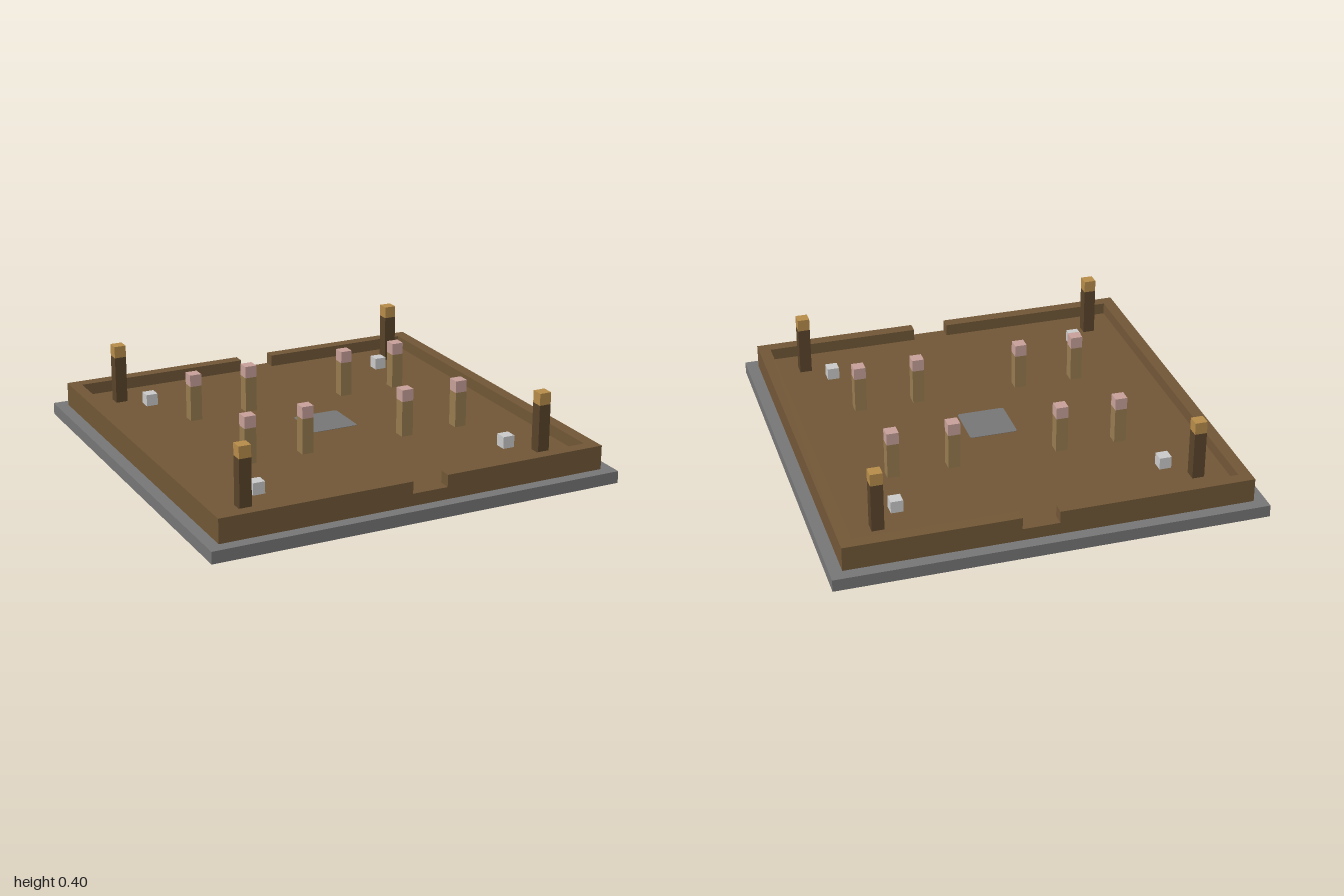
import * as THREE from 'three';

const U = 2 / 35; // one block

const mat = (name, color) => {
  const m = new THREE.MeshStandardMaterial({ color });
  m.name = name;
  return m;
};

export function createModel() {
  const model = new THREE.Group();
  const stone = mat('stone grey', 0x757575);
  const brown = mat('plank brown', 0x705636);
  const darkWood = mat('dark wood', 0x59432a);
  const tan = mat('tan wood', 0x957a4e);
  const gold = mat('gold', 0xb58b49);
  const pink = mat('dusty pink', 0xc69f98);
  const pale = mat('pale grey', 0xc8c8c8);

  // Box given by its centre and size in blocks, with y at its underside
  const block = (name, material, x, y, z, w, h, d, parent = model) => {
    const mesh = new THREE.Mesh(new THREE.BoxGeometry(w * U, h * U, d * U), material);
    mesh.name = name;
    mesh.position.set(x * U, (y + h / 2) * U, z * U);
    parent.add(mesh);
    return mesh;
  };

  // Stone base and plank floor
  block('base', stone, 0, 0, 0, 35, 1, 35);
  block('floor', brown, 0, 1, 0, 33, 1, 33);

  // Low walls, with a doorway three blocks wide at front and back
  for (const s of [-1, 1]) {
    block('sideWall', brown, s * 16, 2, 0, 1, 1, 33);
    block('endWallRight', brown, -8, 2, s * 16, 15, 1, 1);
    block('endWallLeft', brown, 9, 2, s * 16, 13, 1, 1);
  }

  // Stone slab set in the floor, with slightly rounded corners
  const r = 0.014, h = 2 * U;
  const slab = new THREE.Shape();
  slab.absarc(h - r, h - r, r, 0, Math.PI / 2);
  slab.absarc(-h + r, h - r, r, Math.PI / 2, Math.PI);
  slab.absarc(-h + r, -h + r, r, Math.PI, Math.PI * 1.5);
  slab.absarc(h - r, -h + r, r, Math.PI * 1.5, Math.PI * 2);
  const slabGeo = new THREE.ExtrudeGeometry(slab, { depth: 0.002, bevelEnabled: false, curveSegments: 4 });
  slabGeo.rotateX(-Math.PI / 2);
  const slabMesh = new THREE.Mesh(slabGeo, stone);
  slabMesh.name = 'floorSlab';
  slabMesh.position.set(U / 2, 2 * U, -U / 2);
  model.add(slabMesh);

  // Post standing on the floor with a one-block cap
  const post = (name, x, z, height, shaft, cap) => {
    const g = new THREE.Group();
    g.name = name;
    block(name + 'Shaft', shaft, x, 2, z, 1, height, 1, g);
    block(name + 'Cap', cap, x, 2 + height, z, 1, 1, 1, g);
    model.add(g);
  };

  // Corner posts and the small pale blocks beside them
  for (const x of [-1, 1]) for (const z of [-1, 1]) {
    post('cornerPost', x * 13, z * 13, 4, darkWood, gold);
    block('paleBlock', pale, x * 11, 2, z * 11, 1, 1, 1);
  }

  // Two rows of inner pillars
  for (const x of [-9, -4, 5, 10]) for (const z of [-6, 5]) {
    post('pillar', x, z, 3, tan, pink);
  }
  return model;
}
